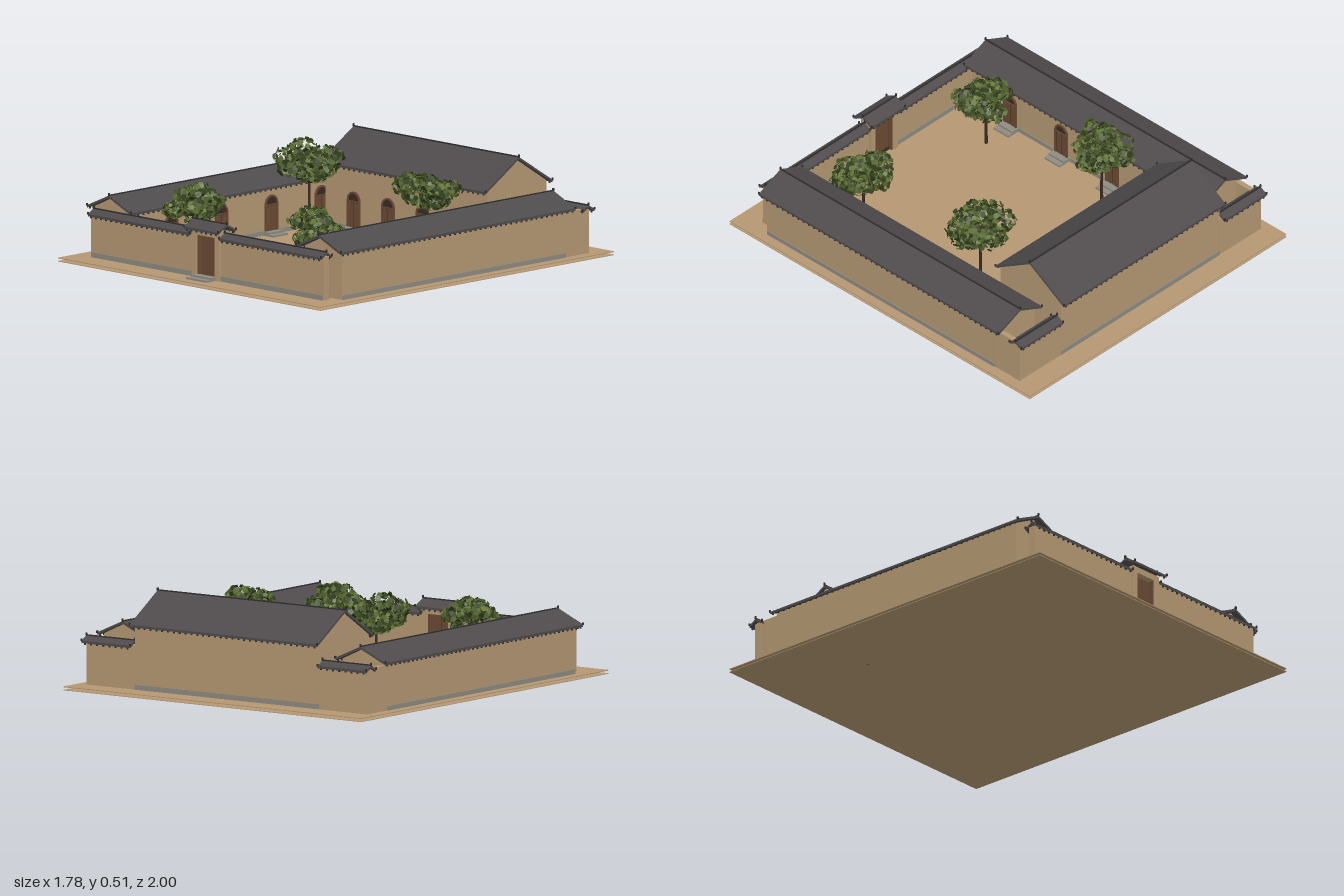
import * as THREE from 'three';
import { mergeGeometries } from 'three/addons/utils/BufferGeometryUtils.js';

const mat = (name, color, side = THREE.FrontSide) => {
  const m = new THREE.MeshStandardMaterial({ color, side });
  m.name = name;
  return m;
};

export function createModel() {
  const model = new THREE.Group();
  model.name = 'courtyardHouse';
  const earth = mat('earth wall', 0xb59873);
  const tile = mat('roof tile', 0x4f4b4d);
  const ridgeTile = mat('ridge tile', 0x302e2f);
  const stone = mat('grey stone', 0x8f8b80);
  const wood = mat('door wood', 0x6a4a33);
  const darkWood = mat('dark wood', 0x3a2a20);
  const leafMats = [mat('leaf green', 0x4a5a2a, 2), mat('dark leaf', 0x2f3b1b, 2), mat('light leaf', 0x64763a, 2)];
  const G = 0.03; // ground level

  const add = (name, geo, material, parent = model) => {
    const m = new THREE.Mesh(geo, material);
    m.name = name;
    parent.add(m);
    return m;
  };
  // box given by its min and max corners
  const boxGeo = (x0, x1, y0, y1, z0, z1) =>
    new THREE.BoxGeometry(x1 - x0, y1 - y0, z1 - z0).translate((x0 + x1) / 2, (y0 + y1) / 2, (z0 + z1) / 2);
  const box = (name, material, ...b) => add(name, boxGeo(...b), material);

  // outline in (across, up), swept from a to b along z, or along x when alongX
  const sweep = (pts, a, b, alongX) => {
    const shape = new THREE.Shape(pts.map(p => new THREE.Vector2(...p)));
    const geo = new THREE.ExtrudeGeometry(shape, { depth: b - a, bevelEnabled: false }).translate(0, 0, a);
    // rotating +90 degrees sends z to x and x to -z
    return alongX ? geo.rotateY(Math.PI / 2) : geo;
  };

  // gabled roof: centre c across, half width w, swept from a to b
  const roof = (name, c, w, eave, ridge, a, b, alongX, t = 0.012) => {
    const g = new THREE.Group();
    g.name = name;
    model.add(g);
    const k = alongX ? -c : c;
    add('roofSlopes', sweep([[k - w, eave - t], [k, ridge - t], [k + w, eave - t],
      [k + w, eave], [k, ridge], [k - w, eave]], a, b, alongX), tile, g);
    // ridge cap, end finials and rows of eave tile ends
    const bits = [];
    const bit = (u, y, v, su, sy, sv) => {
      const geo = new THREE.BoxGeometry(su, sy, sv).translate(k + u, y, v);
      bits.push(alongX ? geo.rotateY(Math.PI / 2) : geo);
    };
    bit(0, ridge, (a + b) / 2, 0.008, 0.006, b - a);
    for (const v of [a, b]) {
      bit(0, ridge + 0.005, v, 0.007, 0.014, 0.007);
      for (const s of [-1, 1]) bit(s * w, eave + 0.003, v, 0.007, 0.012, 0.007);
    }
    const n = Math.round((b - a) / 0.035);
    for (let i = 0; i < n; i++)
      for (const s of [-1, 1]) bit(s * (w - 0.003), eave - t - 0.003, a + (i + 0.5) * (b - a) / n, 0.006, 0.008, 0.008);
    add('ridgeAndEaveTiles', mergeGeometries(bits), ridgeTile, g);
  };

  // pentagonal house body
  const house = (name, c0, c1, wallTop, peak, a, b, alongX) => {
    const [u0, u1] = alongX ? [-c1, -c0] : [c0, c1];
    add(name, sweep([[u0, G], [u1, G], [u1, wallTop], [(u0 + u1) / 2, peak], [u0, wallTop]], a, b, alongX), earth);
  };

  // arched doorway, facing +z at the origin, with a stone step
  const arch = (w, h) => {
    const s = new THREE.Shape();
    s.moveTo(-w, 0);
    s.lineTo(w, 0);
    s.lineTo(w, h - w);
    s.absarc(0, h - w, w, 0, Math.PI, false);
    s.lineTo(-w, 0);
    return s;
  };
  const doorway = (x, z, turn) => {
    const g = new THREE.Group();
    g.name = 'archedDoorway';
    const plate = (name, shape, d, m) =>
      add(name, new THREE.ExtrudeGeometry(shape, { depth: d, bevelEnabled: false, curveSegments: 8 }), m, g);
    const frame = arch(0.042, 0.195);
    frame.holes.push(arch(0.034, 0.186));
    plate('doorFrame', frame, 0.009, wood);
    plate('doorRecess', arch(0.036, 0.188), 0.003, darkWood);
    for (const s of [-1, 1]) add('doorLeaf', boxGeo(s * 0.017 - 0.014, s * 0.017 + 0.014, 0, 0.14, 0.003, 0.006), wood, g);
    add('lintel', boxGeo(-0.036, 0.036, 0.143, 0.15, 0, 0.008), wood, g);
    add('upperStep', boxGeo(-0.05, 0.05, 0, 0.02, 0, 0.04), stone, g);
    add('lowerStep', boxGeo(-0.05, 0.05, 0, 0.01, 0.04, 0.068), stone, g);
    g.position.set(x, G, z);
    g.rotation.y = turn;
    model.add(g);
  };

  // ground sheets
  box('courtyardGround', earth, -0.89, 0.89, G - 0.004, G, -1, 1);
  box('groundBase', earth, -0.89, 0.89, 0.011, 0.014, -1, 1);

  // rear main hall
  house('mainHall', -0.88, -0.48, 0.348, 0.474, -0.55, 0.55, true);
  roof('mainHallRoof', -0.683, 0.228, 0.348, 0.49, -0.56, 0.56, true);
  box('mainHallPlinth', stone, -0.55, 0.55, G, 0.055, -0.884, -0.476);
  for (const x of [-0.35, -0.117, 0.117, 0.35]) doorway(x, -0.476, 0);

  // side halls, rear corner walls, mirrored
  for (const s of [-1, 1]) {
    const span = (a, b) => (s > 0 ? [a, b] : [-b, -a]);
    house('sideHall', ...span(0.585, 0.838), 0.263, 0.322, -0.74, 0.8, false);
    roof('sideHallRoof', s * 0.711, 0.15, 0.268, 0.335, -0.765, 0.832, false);
    box('sideHallPlinth', stone, ...span(0.581, 0.842), G, 0.052, -0.72, 0.796);
    for (const z of [-0.48, -0.14, 0.2, 0.54]) doorway(s * 0.581, z, -s * Math.PI / 2);
    box('cornerSideWall', earth, ...span(0.81, 0.836), G, 0.25, -0.87, -0.74);
    box('rearWall', earth, ...span(0.54, 0.838), G, 0.245, -0.882, -0.848);
    roof('rearWallCap', -0.866, 0.04, 0.245, 0.268, ...span(0.56, 0.85), true);
    // front wall
    box('frontWall', earth, ...span(0.06, 0.788), G, 0.243, 0.838, 0.876);
    box('frontWallPlinth', stone, ...span(0.09, 0.785), G, 0.055, 0.834, 0.88);
    roof('frontWallCap', 0.858, 0.038, 0.243, 0.266, ...span(0.1, 0.79), true);
    // gate
    box('gatePost', earth, ...span(0.062, 0.092), G, 0.27, 0.822, 0.89);
    box('gateJamb', wood, ...span(0.054, 0.062), G, 0.24, 0.828, 0.882);
    box('gateLeaf', wood, ...span(0.001, 0.054), G + 0.012, 0.235, 0.85, 0.862);
  }
  box('gateLintel', earth, -0.062, 0.062, 0.24, 0.27, 0.822, 0.89);
  box('gateSeam', darkWood, -0.001, 0.001, G + 0.012, 0.235, 0.852, 0.86);
  box('gateThreshold', darkWood, -0.054, 0.054, G, G + 0.012, 0.84, 0.872);
  roof('gateRoof', 0.858, 0.062, 0.277, 0.31, -0.115, 0.115, true);
  box('gateUpperStep', stone, -0.068, 0.068, G, 0.048, 0.88, 0.92);
  box('gateLowerStep', stone, -0.068, 0.068, G, 0.039, 0.92, 0.952);

  // foliage: clumps of small outward facing leaves
  let seed = 7;
  const rnd = () => (seed = (seed * 16807) % 2147483647) / 2147483647;
  const dir = () => {
    const y = rnd() * 2 - 1, a = rnd() * Math.PI * 2, r = Math.sqrt(1 - y * y);
    return new THREE.Vector3(r * Math.cos(a), y, r * Math.sin(a));
  };
  const Z = new THREE.Vector3(0, 0, 1);
  const foliage = (name, x, y, z, rx, ry, rz, clumps, perClump) => {
    const g = new THREE.Group();
    g.name = name;
    model.add(g);
    const sets = [[], [], []];
    for (let c = 0; c < clumps; c++) {
      const core = dir().multiplyScalar(0.45 + 0.2 * rnd());
      for (let i = 0; i < perClump; i++) {
        const n = dir();
        const p = core.clone().addScaledVector(n, 0.4 * (0.75 + 0.25 * rnd()));
        const leaf = new THREE.CircleGeometry(0.011 + 0.006 * rnd(), 5);
        leaf.applyQuaternion(new THREE.Quaternion().setFromUnitVectors(Z, n.addScaledVector(dir(), 0.6).normalize()));
        leaf.translate(x + p.x * rx, y + p.y * ry, z + p.z * rz);
        sets[Math.floor(rnd() * 3)].push(leaf);
      }
    }
    sets.forEach((set, i) => add('leaves', mergeGeometries(set), leafMats[i], g));
  };
  const trees = [
    [-0.41, 0.4, -0.23, 0.17, 0.11, 0.19], [0.41, 0.375, -0.21, 0.19, 0.11, 0.185],
    [-0.41, 0.29, 0.54, 0.17, 0.105, 0.175], [0.41, 0.295, 0.57, 0.175, 0.105, 0.16],
  ];
  for (const [x, y, z, rx, ry, rz] of trees) {
    foliage('treeCanopy', x, y, z, rx, ry, rz, 15, 60);
    add('trunk', new THREE.CylinderGeometry(0.005, 0.009, y - G, 6).translate(x, (y + G) / 2, z), darkWood);
  }
  // low shrubs by the walls
  for (const [x, z] of [[-0.5, -0.42], [0.48, -0.42], [0.49, 0.57]])
    foliage('shrub', x, 0.07, z, 0.06, 0.066, 0.05, 6, 25);

  return model;
}
